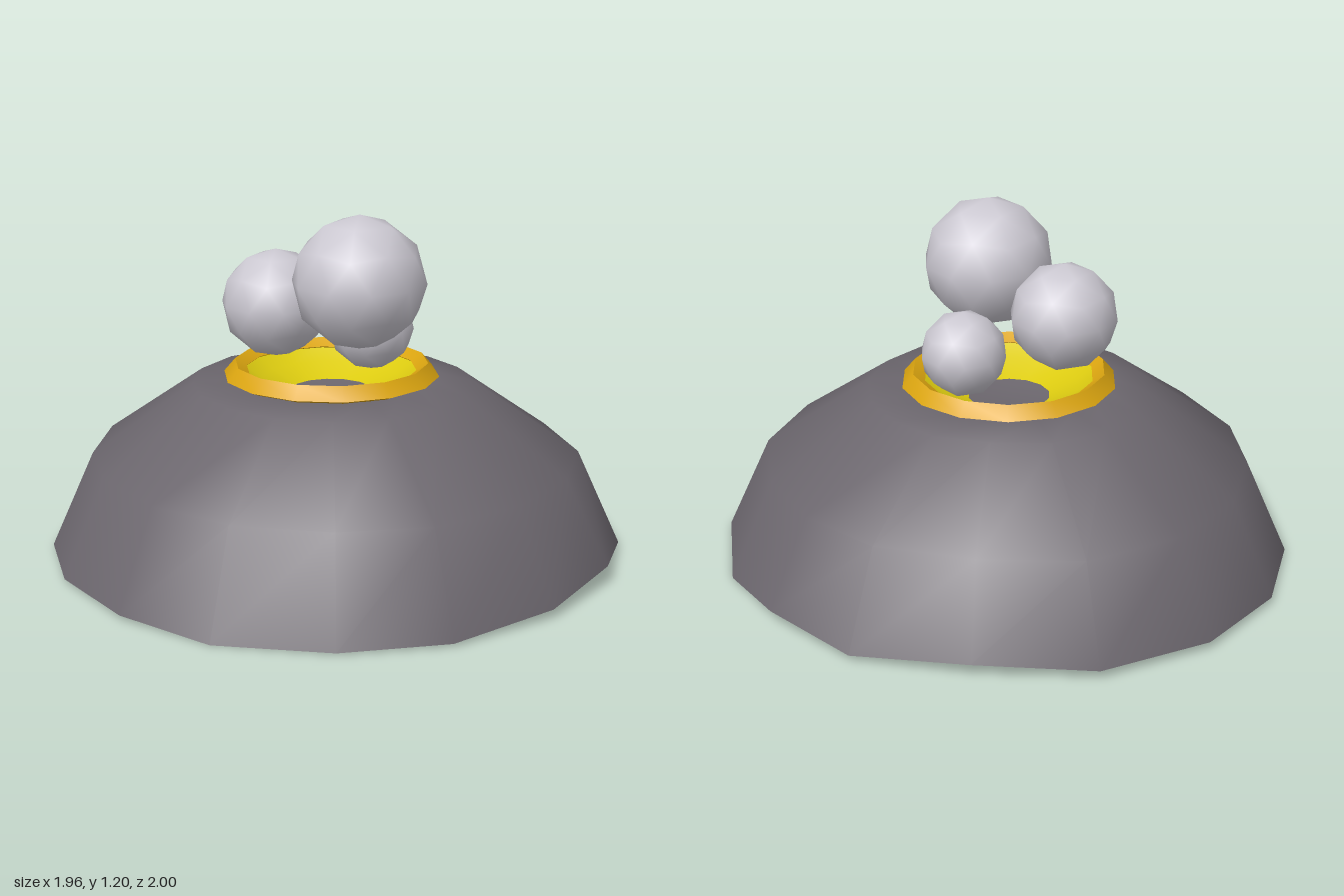
import * as THREE from 'three';
import { toCreasedNormals } from 'three/addons/utils/BufferGeometryUtils.js';

const mat = (name, color, side = THREE.FrontSide) => {
  const m = new THREE.MeshStandardMaterial({ color, side });
  m.name = name;
  return m;
};

// Uneven foot of the mound: x, y, z, going round from the back
const RIM = [
  [-0.03, 0.025, -1], [0.37, 0.03, -0.93], [0.68, 0.045, -0.67], [0.92, 0.02, -0.35],
  [0.98, 0.045, 0.01], [0.91, 0.0, 0.36], [0.70, 0.01, 0.71], [0.37, 0.06, 0.92],
  [0, 0.03, 0.995], [-0.40, 0.01, 0.93], [-0.70, 0.005, 0.72], [-0.92, 0.0, 0.39],
  [-0.98, 0.015, 0.03], [-0.89, 0.01, -0.36], [-0.70, 0.01, -0.66], [-0.40, 0.02, -0.90],
];

// Loops of the mound above the foot: scale of the foot outline, height
const LOOPS = [[0.85, 0.34], [0.49, 0.587], [0.33, 0.603], [0.2, 0.555]];

function moundGeometry() {
  const n = RIM.length;
  const pos = RIM.flat();
  const index = [];
  for (const [s, y] of LOOPS) for (const [x, , z] of RIM) pos.push(x * s, y, z * s);
  for (let k = 0; k < LOOPS.length; k++) {
    for (let i = 0; i < n; i++) {
      const j = (i + 1) % n;
      const a = k * n + i, b = k * n + j, c = a + n, d = b + n;
      index.push(a, c, b, b, c, d);
    }
  }
  // crater floor
  const top = pos.length / 3;
  pos.push(0, 0.557, 0);
  for (let i = 0; i < n; i++) index.push(LOOPS.length * n + i, top, LOOPS.length * n + (i + 1) % n);
  const g = new THREE.BufferGeometry();
  g.setAttribute('position', new THREE.Float32BufferAttribute(pos, 3));
  g.setIndex(index);
  g.computeVertexNormals();
  return g;
}

function undersideGeometry() {
  const n = RIM.length;
  const pos = [...RIM.flat(), 0, 0.025, 0];
  const index = [];
  for (let i = 0; i < n; i++) index.push(i, (i + 1) % n, n);
  const g = new THREE.BufferGeometry();
  g.setAttribute('position', new THREE.Float32BufferAttribute(pos, 3));
  g.setIndex(index);
  g.computeVertexNormals();
  return g;
}

const lathe = (points, sides) => new THREE.LatheGeometry(
  points.map(([r, y]) => new THREE.Vector2(r, y)), sides, Math.PI / sides);

export function createModel() {
  const group = new THREE.Group();
  const rock = mat('rock grey', 0x6c676e);
  const gold = mat('crater gold', 0xdba510);
  const lava = mat('lava yellow', 0xdccb10, THREE.DoubleSide);
  const smoke = mat('smoke grey', 0xcdcad3);

  const add = (name, geometry, material) => {
    const mesh = new THREE.Mesh(geometry, material);
    mesh.name = name;
    group.add(mesh);
    return mesh;
  };

  add('mound', moundGeometry(), rock);
  add('moundUnderside', undersideGeometry(), rock);

  // Crater lip and the glowing bowl inside it
  const lip = lathe([[0.33, 0.6], [0.368, 0.615], [0.33, 0.66], [0.29, 0.635], [0.33, 0.6]], 14);
  add('craterRing', toCreasedNormals(lip, 0.5), gold);
  add('lavaBowl', lathe([[0.14, 0.558], [0.24, 0.595], [0.31, 0.643]], 14), lava);

  // Smoke puffs: radius, x, y, z
  const puffs = [
    [0.225, -0.065, 0.975, 0.195],
    [0.185, -0.12, 0.86, -0.145],
    [0.147, 0.18, 0.75, 0.015],
  ];
  puffs.forEach(([r, x, y, z], i) => {
    const ball = new THREE.IcosahedronGeometry(r, 1);
    ball.rotateZ(-0.5536); // one corner straight up
    add('smokePuff' + (i + 1), ball, smoke).position.set(x, y, z);
  });

  return group;
}
